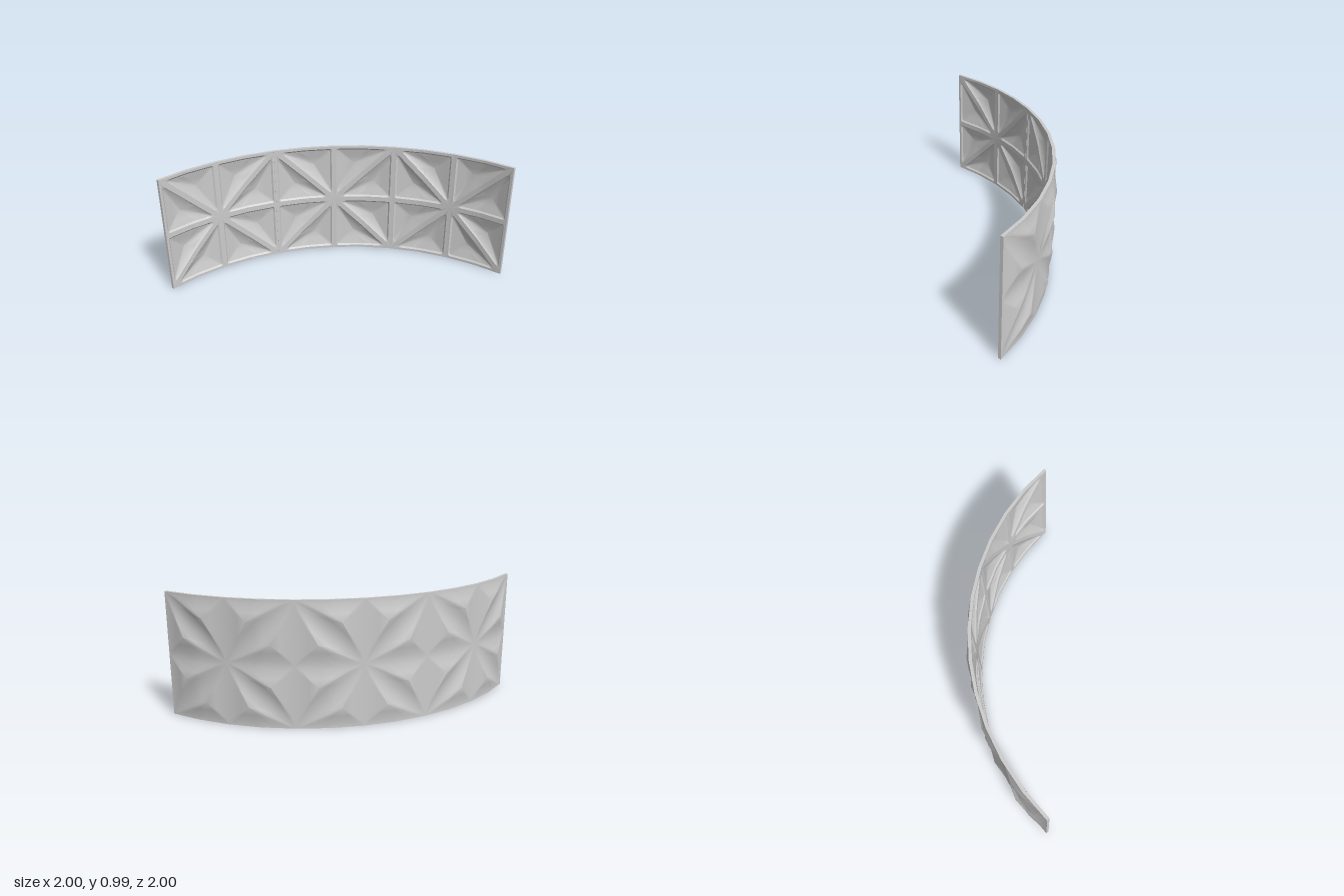
import * as THREE from 'three';
import { toCreasedNormals } from 'three/addons/utils/BufferGeometryUtils.js';

const H = 0.99;                  // panel height
const R_IN = 1.956, R_OUT = 1.98; // arc radii, centred on x = 1, z = 1
const R_MID = 1.97;
const SWEEP = Math.PI / 2;
const BAY = SWEEP / 6 * R_MID;   // arc length of one 15 degree bay
const FACET = SWEEP / 12;        // the arc is made of 12 straight chords

// Wrap a flat point (arc length, height) onto the faceted arc at radius r
function wrap(p, r) {
  const a = p.x / R_MID;
  const f = a - Math.floor(a / FACET + 1e-6) * FACET - FACET / 2;
  const rr = r * Math.cos(FACET / 2) / Math.cos(f);
  return new THREE.Vector3(1 - rr * Math.sin(a), p.y, 1 - rr * Math.cos(a));
}

// Triangle inset by d with corners rounded by radius; every ring has equal point count
function triangleRing(tri, d, radius) {
  const corners = tri.map((p, i) => {
    const u = tri[(i + 1) % 3].clone().sub(p).normalize();
    const v = tri[(i + 2) % 3].clone().sub(p).normalize();
    const half = Math.acos(u.dot(v)) / 2;
    const mid = u.clone().add(v).normalize();
    const tip = p.clone().addScaledVector(mid, d / Math.sin(half));
    const cut = radius / Math.tan(half);
    return {
      tip,
      from: tip.clone().addScaledVector(v, cut),
      to: tip.clone().addScaledVector(u, cut),
    };
  });
  const ring = [];
  corners.forEach((c, i) => {
    ring.push(...new THREE.QuadraticBezierCurve(c.from, c.tip, c.to).getPoints(5));
    const next = corners[(i + 1) % 3].from;
    for (let k = 1; k < 12; k++) ring.push(c.to.clone().lerp(next, k / 12));
  });
  return ring;
}

// Add a triangle unless it has no area
function addTri(out, a, b, c, flip) {
  const area = b.clone().sub(a).cross(c.clone().sub(a)).length();
  if (area < 1e-9) return;
  for (const p of flip ? [a, c, b] : [a, b, c]) out.push(p.x, p.y, p.z);
}

// Join neighbouring closed loops
function loft(out, loops, flip) {
  for (let j = 0; j + 1 < loops.length; j++) {
    const A = loops[j], B = loops[j + 1], n = A.length;
    for (let i = 0; i < n; i++) {
      const k = (i + 1) % n;
      addTri(out, A[i], A[k], B[k], flip);
      addTri(out, A[i], B[k], B[i], flip);
    }
  }
}

// Triangular cells: each 30 degree block is split by a cross, a star of eight around its hub
function makeCells() {
  const cells = [];
  for (let block = 0; block < 3; block++) {
    const hub = new THREE.Vector2((block * 2 + 1) * BAY, H / 2);
    for (const sx of [-1, 1]) for (const sy of [-1, 1]) {
      const corner = new THREE.Vector2(hub.x + sx * BAY, hub.y + sy * H / 2);
      const side = new THREE.Vector2(corner.x, hub.y);
      const end = new THREE.Vector2(hub.x, corner.y);
      for (const third of [side, end]) {
        const tri = [hub, corner, third];
        if (THREE.ShapeUtils.area(tri) < 0) tri.reverse();
        cells.push(tri);
      }
    }
  }
  return cells;
}

function makeMesh(name, positions, crease, material) {
  const g = new THREE.BufferGeometry();
  g.setAttribute('position', new THREE.Float32BufferAttribute(positions, 3));
  const mesh = new THREE.Mesh(toCreasedNormals(g, crease), material);
  mesh.name = name;
  return mesh;
}

export function createModel() {
  const group = new THREE.Group();
  group.name = 'curvedRibbedPanel';
  const material = new THREE.MeshStandardMaterial({ color: 0xcccccc });
  const inner = [], outer = [], rim = [];

  for (const tri of makeCells()) {
    const centre = tri[0].clone().add(tri[1]).add(tri[2]).divideScalar(3);
    const edge = triangleRing(tri, 0, 0);
    const lip = triangleRing(tri, 0.021, 0.02);
    const foot = triangleRing(tri, 0.034, 0.014);
    const place = (ring, r) => ring.map(p => wrap(p, r));
    const shrink = t => foot.map(p => p.clone().lerp(centre, t));

    // Inner skin: flat rib, sloped step, then the hollow of the pocket
    loft(inner, [
      place(edge, R_IN), place(lip, R_IN), place(foot, R_IN + 0.012),
      place(shrink(0.5), 1.984), place(shrink(1), 1.998),
    ], true);

    // Outer skin: flat border rising to a shallow pyramid
    loft(outer, [
      place(edge, R_OUT), place(foot, R_OUT),
      place(shrink(0.5), 1.996), place(shrink(1), 2.012),
    ], false);
  }

  // Rim closing the four edges of the panel
  const border = [];
  const L = 6 * BAY, N = 72;
  for (let i = 0; i < N; i++) border.push(new THREE.Vector2(L * i / N, 0));
  for (let i = 0; i < N; i++) border.push(new THREE.Vector2(L * (1 - i / N), H));
  border.splice(N, 0, new THREE.Vector2(L, 0));
  border.push(new THREE.Vector2(0, H));
  loft(rim, [border.map(p => wrap(p, R_IN)), border.map(p => wrap(p, R_OUT))], false);

  group.add(makeMesh('innerRibsAndPockets', inner, 0.45, material));
  group.add(makeMesh('outerPillowedSkin', outer, 0.45, material));
  group.add(makeMesh('panelRim', rim, 0.6, material));

  // Thin upright seam on the rib between the second and third blocks
  const seam = new THREE.Mesh(new THREE.BoxGeometry(0.01, H, 0.005), material);
  seam.name = 'seamStrip';
  seam.position.copy(wrap(new THREE.Vector2(4 * BAY, H / 2), R_IN));
  seam.rotation.y = SWEEP * 2 / 3;
  group.add(seam);

  return group;
}
